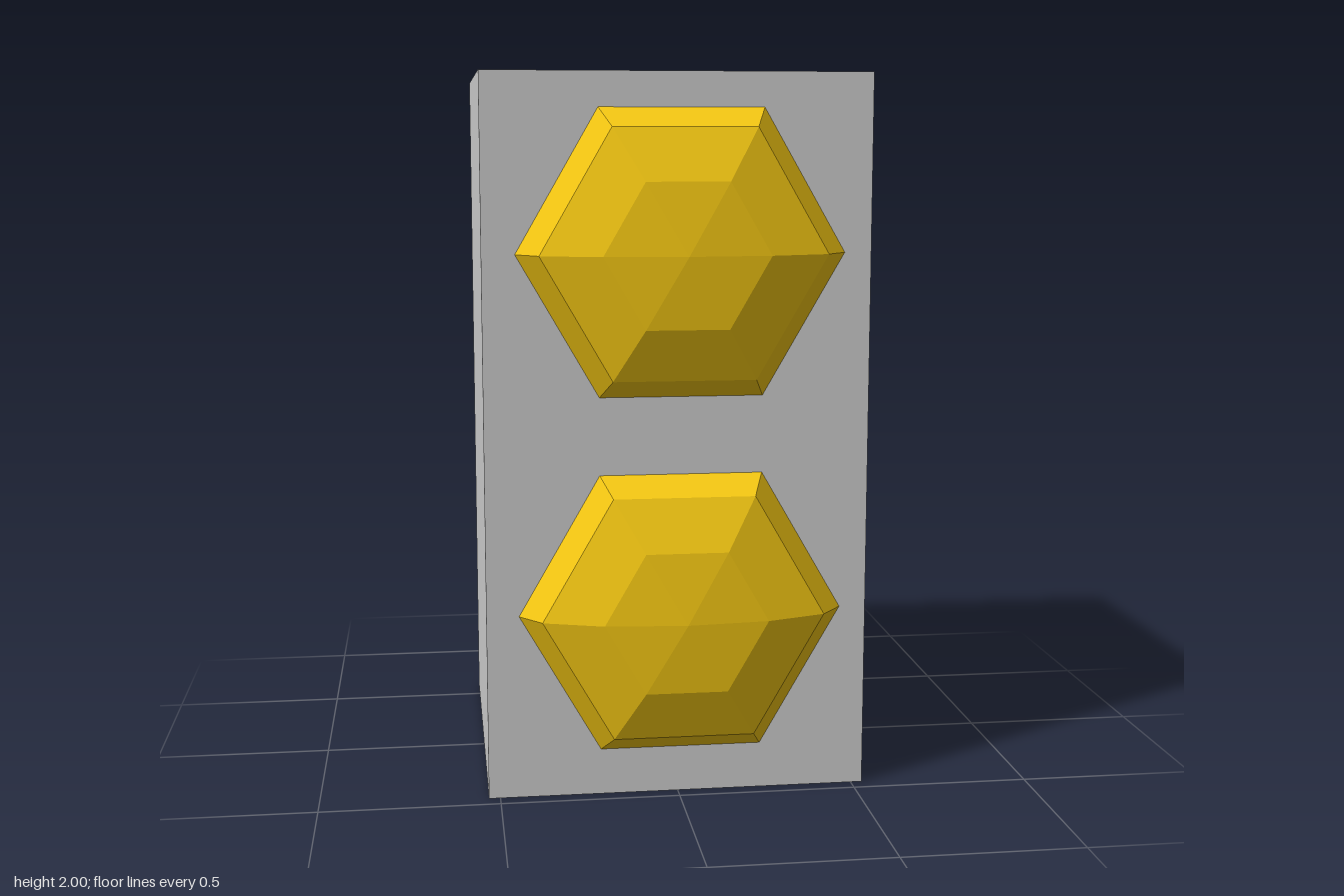
import * as THREE from 'three';

export function createModel() {
  const model = new THREE.Group();
  const grey = new THREE.MeshStandardMaterial({ color: 0xcccccc, flatShading: true });
  const yellow = new THREE.MeshStandardMaterial({ color: 0xf5c813, flatShading: true });

  // Tall plain housing
  const front = 0.457, back = -0.607;
  const housing = new THREE.Mesh(new THREE.BoxGeometry(1.064, 2, front - back), grey);
  housing.name = 'housing';
  housing.position.set(0, 1, (front + back) / 2);
  model.add(housing);

  // Shallow six-sided dome, its pole turned to the front
  const dome = new THREE.SphereGeometry(0.45, 6, 3, 0, Math.PI * 2, 0, Math.PI / 2);
  dome.rotateX(Math.PI / 2);
  dome.scale(1, 1, 1 / 3);

  // Two lamps, one above the other
  for (const [name, y] of [['upperLamp', 1.515], ['lowerLamp', 0.52]]) {
    const lamp = new THREE.Mesh(dome, yellow);
    lamp.name = name;
    lamp.position.set(0.008, y, front);
    model.add(lamp);
  }

  return model;
}
